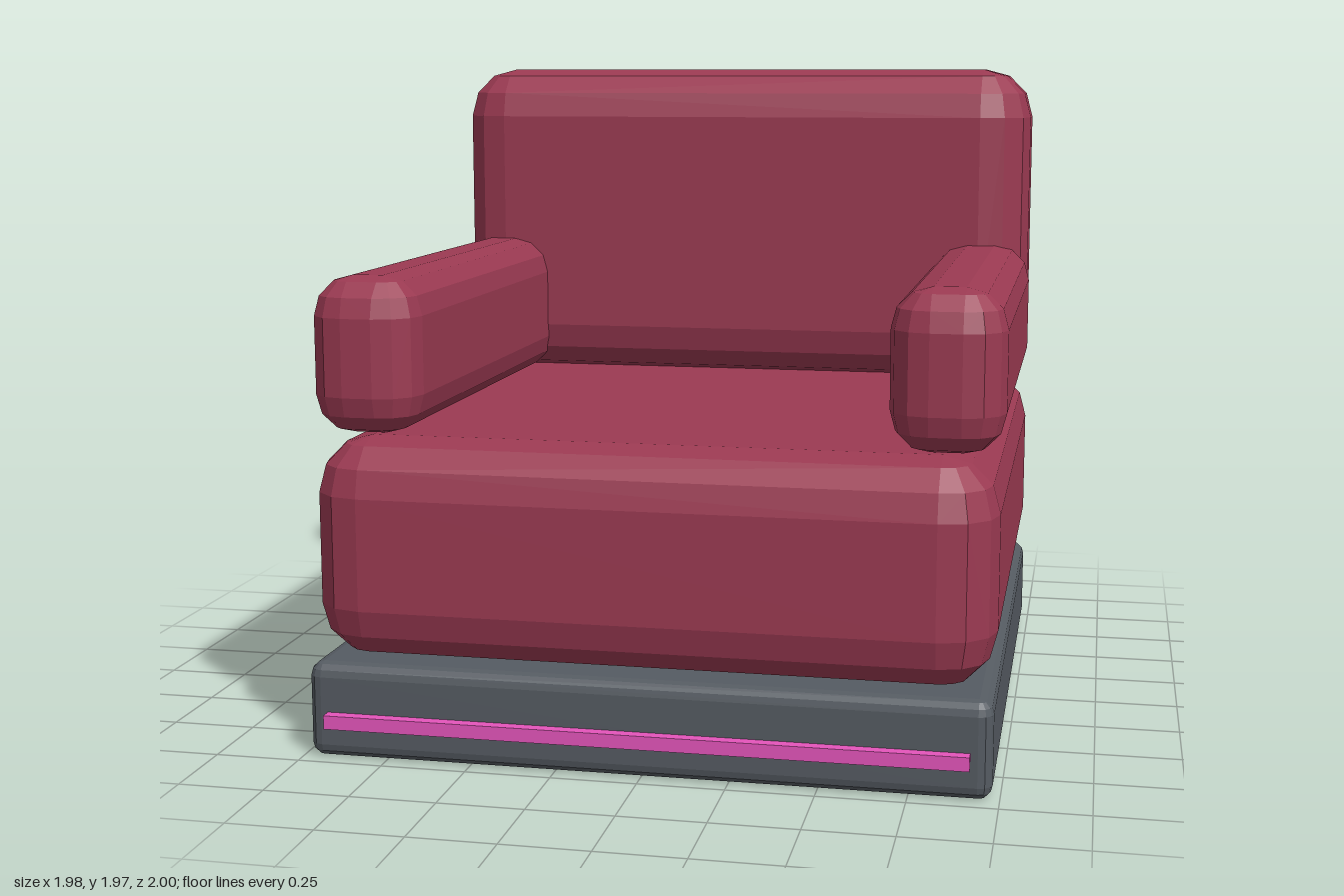
import * as THREE from 'three';
import { ConvexGeometry } from 'three/addons/geometries/ConvexGeometry.js';

const fabric = new THREE.MeshStandardMaterial({ color: 0x9b3a52, flatShading: true });
const plinth = new THREE.MeshStandardMaterial({ color: 0x555b62, flatShading: true });
const glow = new THREE.MeshStandardMaterial({ color: 0xe455bb, flatShading: true });

// Box between two corners, its edges rounded by three facets of 30 degrees
function softBox(name, min, max, r, material) {
  const c = min.map((v, i) => (v + max[i]) / 2);
  const h = min.map((v, i) => (max[i] - v) / 2 - r);
  const points = [];
  for (const sx of [-1, 1]) for (const sy of [-1, 1]) for (const sz of [-1, 1]) {
    for (let i = 0; i <= 3; i++) {
      const lat = (i * Math.PI) / 6;
      for (let j = 0; j <= (i === 3 ? 0 : 3); j++) {
        const lon = (j * Math.PI) / 6;
        points.push(new THREE.Vector3(
          sx * (h[0] + r * Math.cos(lat) * Math.cos(lon)),
          sy * (h[1] + r * Math.sin(lat)),
          sz * (h[2] + r * Math.cos(lat) * Math.sin(lon))
        ));
      }
    }
  }
  const mesh = new THREE.Mesh(new ConvexGeometry(points), material);
  mesh.name = name;
  mesh.position.set(...c);
  return mesh;
}

export function createModel() {
  const chair = new THREE.Group();
  chair.name = 'armchair';

  // Plinth and the cushions stacked on it
  chair.add(softBox('base', [-0.98, 0, -1], [0.98, 0.28, 0.965], 0.04, plinth));
  chair.add(softBox('seatCushion', [-0.98, 0.28, -1], [0.98, 0.927, 0.965], 0.16, fabric));
  chair.add(softBox('backCushion', [-0.98, 0.927, -0.99], [0.98, 1.97, -0.53], 0.16, fabric));

  // Armrests, running slightly into the back cushion
  for (const [side, x] of [['left', 0.83], ['right', -0.83]]) {
    chair.add(softBox(side + 'Armrest', [x - 0.16, 0.93, -0.695], [x + 0.16, 1.387, 0.905], 0.115, fabric));
  }

  // Light strip across the front of the base
  const strip = new THREE.Mesh(new THREE.BoxGeometry(1.84, 0.04, 0.06), glow);
  strip.name = 'lightStrip';
  strip.position.set(0, 0.118, 0.97);
  chair.add(strip);

  return chair;
}
